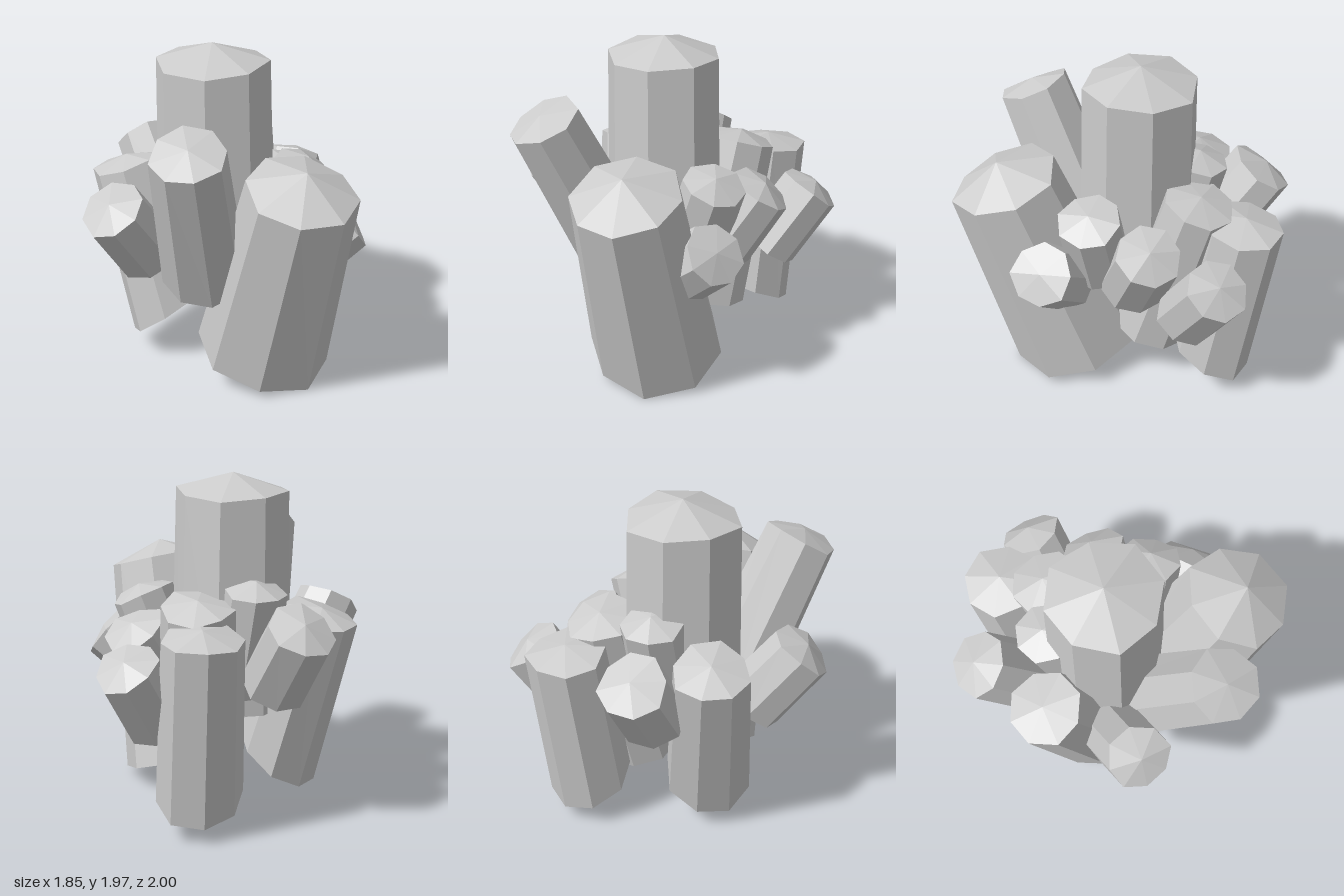
import * as THREE from 'three';

const material = new THREE.MeshStandardMaterial({ color: 0xcccccc, flatShading: true });

// One faceted crystal running from its base centre to its tip.
// slope tilts the cut of the base along x and z.
function crystal({ name, base, tip, rBase, rTop, cap = 0.05, turn = 0, wobble = 0.015, slope = [0, 0] }) {
  const from = new THREE.Vector3(...base);
  const axis = new THREE.Vector3(...tip).sub(from);
  const length = axis.length();
  const profile = [[0, 0], [rBase, 0], [rTop, length - cap], [0, length]];
  const geometry = new THREE.LatheGeometry(profile.map(p => new THREE.Vector2(...p)), 8, turn);

  // uneven shoulder line, slanted base and slightly irregular sides
  const pos = geometry.attributes.position;
  for (let i = 0; i < pos.count; i++) {
    const x = pos.getX(i), y = pos.getY(i), z = pos.getZ(i);
    if (Math.hypot(x, z) < 0.01) continue;
    const a = Math.atan2(x, z);
    const k = 1 + 0.03 * Math.sin(3 * a + turn * 5);
    const lift = y > length / 2 ? wobble * Math.sin(2 * a + turn * 7) : slope[0] * x + slope[1] * z;
    pos.setXYZ(i, x * k, y + lift, z * k);
  }
  geometry.computeVertexNormals();

  const mesh = new THREE.Mesh(geometry, material);
  mesh.name = name;
  mesh.position.copy(from);
  mesh.quaternion.setFromUnitVectors(new THREE.Vector3(0, 1, 0), axis.normalize());
  return mesh;
}

const crystals = [
  // large crystals
  { name: 'centreCrystal', base: [-0.05, 0.6, -0.09], tip: [-0.06, 1.97, -0.1], rBase: 0.355, rTop: 0.332, cap: 0.11, turn: 0.03 },
  { name: 'frontCrystal', base: [0.02, 0.135, 0.3], tip: [-0.03, 1.44, 0.74], rBase: 0.4, rTop: 0.32, cap: 0.13, turn: 0.1, slope: [-0.08, 0] },
  { name: 'tallRightCrystal', base: [-0.28, 0.65, 0.13], tip: [-0.615, 1.62, 0.455], rBase: 0.25, rTop: 0.213, cap: 0.04, turn: 0.3 },
  { name: 'backRightCrystal', base: [-0.28, 0.26, -0.26], tip: [-0.39, 1.22, -0.54], rBase: 0.255, rTop: 0.22, turn: 0.1, slope: [0.25, 0.25] },
  { name: 'backLeftCrystal', base: [0.39, 0.21, -0.47], tip: [0.45, 1.22, -0.62], rBase: 0.25, rTop: 0.23, turn: 0.4, slope: [-0.2, 0.25] },
  { name: 'innerLeftCrystal', base: [0.2, 0.3, -0.13], tip: [0.34, 1.32, -0.38], rBase: 0.24, rTop: 0.21, turn: 0.15 },
  // short crystals around them
  { name: 'innerBackCrystal', base: [-0.01, 0.75, -0.27], tip: [0, 1.4, -0.45], rBase: 0.19, rTop: 0.18, turn: 0.25 },
  { name: 'backCrystal', base: [-0.05, 0.83, -0.57], tip: [-0.045, 1.24, -0.87], rBase: 0.205, rTop: 0.195, turn: 0.35 },
  { name: 'farLeftCrystal', base: [0.55, 0.63, -0.27], tip: [0.81, 1.04, -0.39], rBase: 0.19, rTop: 0.185, turn: 0.2 },
  { name: 'leftCrystal', base: [0.33, 0.74, 0.01], tip: [0.58, 1.15, -0.04], rBase: 0.2, rTop: 0.19, turn: 0.1 },
  { name: 'innerFrontCrystal', base: [0.21, 0.81, 0.18], tip: [0.365, 1.29, 0.275], rBase: 0.19, rTop: 0.185, turn: 0.3 },
  { name: 'frontLeftCrystal', base: [0.19, 0.72, 0.4], tip: [0.46, 0.985, 0.57], rBase: 0.2, rTop: 0.185, cap: 0.03, turn: 0.4 },
  { name: 'rightCrystal', base: [-0.5, 0.76, -0.14], tip: [-0.805, 1.17, -0.06], rBase: 0.2, rTop: 0.19, turn: 0.15 },
];

export function createModel() {
  const group = new THREE.Group();
  group.name = 'crystalCluster';
  for (const spec of crystals) group.add(crystal(spec));
  return group;
}
